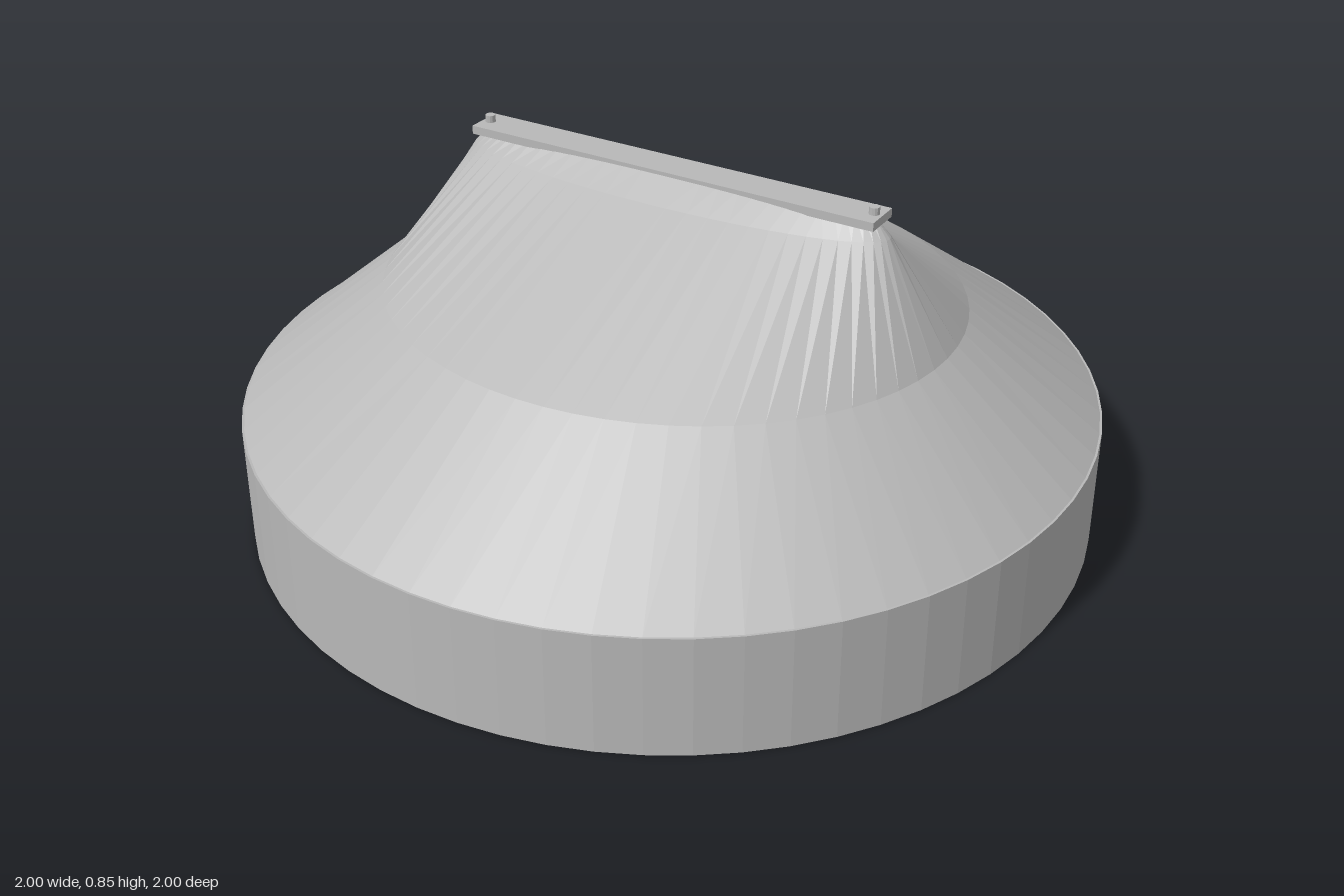
import * as THREE from 'three';

const SIDES = 64;

// Skin joining elliptical rings [y, radiusX, radiusZ], closed at both ends
function loft(rings) {
  const pos = [], index = [];
  rings.forEach(([y, rx, rz]) => {
    for (let i = 0; i < SIDES; i++) {
      const a = (i / SIDES) * Math.PI * 2;
      pos.push(rx * Math.cos(a), y, rz * Math.sin(a));
    }
  });
  const top = rings.length - 1;
  const low = pos.length / 3, high = low + 1;
  pos.push(0, rings[0][0], 0, 0, rings[top][0], 0);
  for (let i = 0; i < SIDES; i++) {
    const j = (i + 1) % SIDES;
    for (let r = 0; r < top; r++) {
      const a = r * SIDES + i, b = r * SIDES + j;
      index.push(a, a + SIDES, b, b, a + SIDES, b + SIDES);
    }
    index.push(low, i, j, high, top * SIDES + j, top * SIDES + i);
  }
  const g = new THREE.BufferGeometry();
  g.setAttribute('position', new THREE.Float32BufferAttribute(pos, 3));
  g.setIndex(index);
  const flat = g.toNonIndexed();
  flat.computeVertexNormals();
  return flat;
}

export function createModel() {
  const model = new THREE.Group();
  const grey = new THREE.MeshStandardMaterial({ color: 0xb8b8b8, flatShading: true });
  grey.name = 'grey';

  const add = (name, geometry, x = 0, y = 0) => {
    const mesh = new THREE.Mesh(geometry, grey);
    mesh.name = name;
    mesh.position.set(x, y, 0);
    model.add(mesh);
  };

  // Round drum at the foot
  add('base', loft([[0, 1, 1], [0.285, 1, 1]]));

  // Shoulder and neck, narrowing from a circle to a thin ellipse
  add('body', loft([
    [0.285, 0.995, 0.995],
    [0.54, 0.69, 0.62],
    [0.785, 0.54, 0.115],
    [0.832, 0.5, 0.035],
  ]));

  // Flat bar along the ridge
  add('topBar', new THREE.BoxGeometry(1.04, 0.02, 0.09), 0, 0.825);

  // Small pegs at the ends of the bar
  for (const s of [-1, 1]) {
    add(s > 0 ? 'leftPeg' : 'rightPeg', new THREE.CylinderGeometry(0.012, 0.012, 0.03, 12), s * 0.5, 0.837);
  }
  return model;
}
